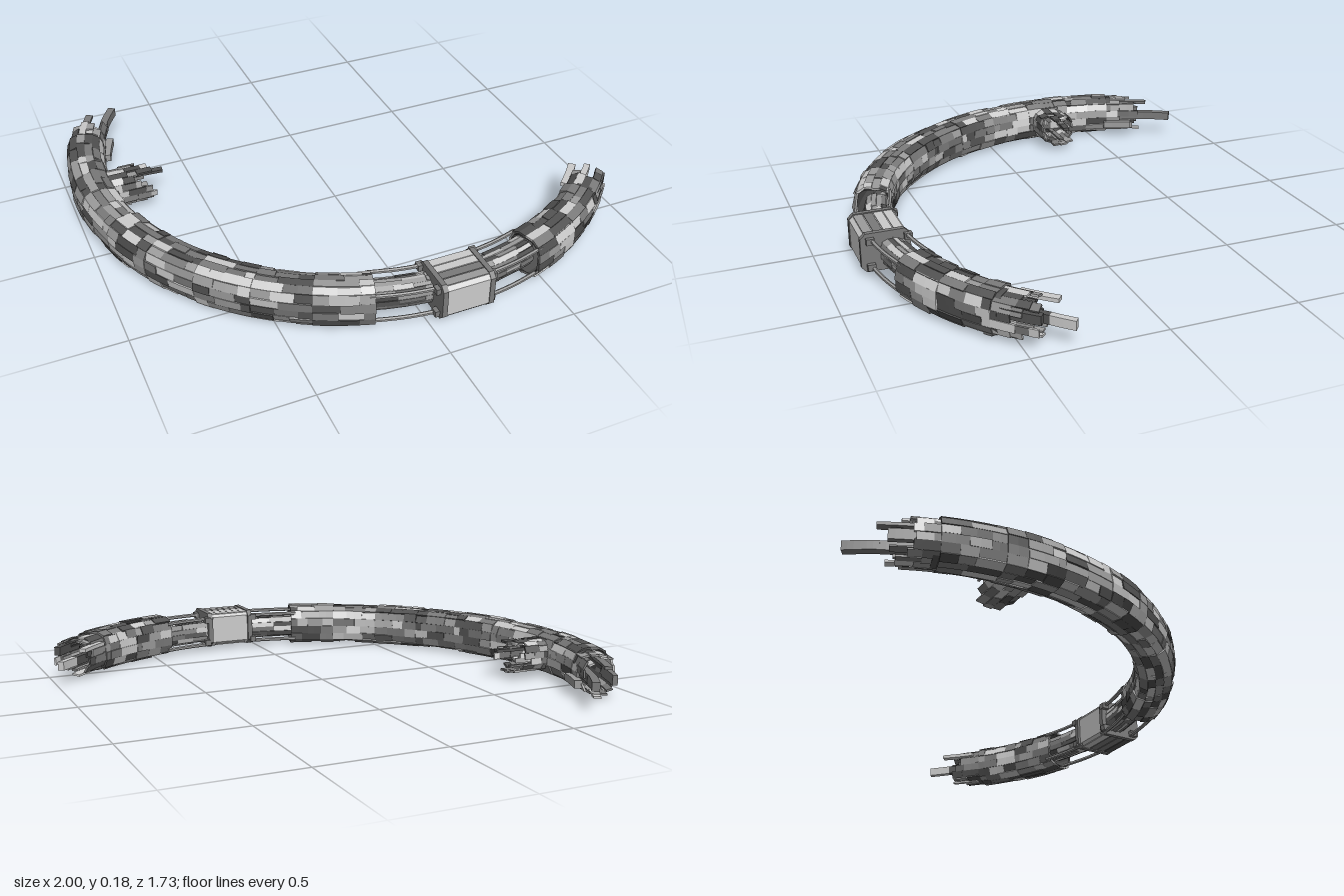
import * as THREE from 'three';
import { mergeGeometries } from 'three/addons/utils/BufferGeometryUtils.js';

const CX = 0.14, CZ = -0.29, R = 1.06, Y = 0.088; // ring centre, tube radius and height
const STEP = 11.25;                               // degrees per ring module
const ROWS = 16;                                  // plate rows around the tube
const TONES = [0xc4c4c4, 0x9c9c9c, 0x7a7a7a, 0x525252]; // patchwork greys

export function createModel() {
  const model = new THREE.Group();
  const mats = TONES.map(color => new THREE.MeshStandardMaterial({ color, flatShading: true, side: THREE.DoubleSide }));

  let seed = 7;
  const rnd = (a = 0, b = 1) => {
    seed = (seed * 16807) % 2147483647;
    return a + (b - a) * seed / 2147483647;
  };
  const add = (name, geo, tone, parent = model) => {
    const mesh = new THREE.Mesh(geo, mats[tone]);
    mesh.name = name;
    parent.add(mesh);
    return mesh;
  };
  // Deals plates out at random to the four greys, one mesh per grey
  const addPatchwork = (name, geos) => {
    const group = new THREE.Group(), bins = TONES.map(() => []);
    group.name = name;
    geos.forEach(g => bins[Math.floor(rnd(0, 3.999))].push(g));
    bins.forEach((bin, tone) => bin.length && add(name + 'Plates', mergeGeometries(bin), tone, group));
    model.add(group);
  };

  // Places (angle in degrees, radius, height) on the ring; angle 0 is the front
  const onRing = (deg, r, y) => {
    const a = THREE.MathUtils.degToRad(deg);
    return [CX + r * Math.sin(a), y, CZ + r * Math.cos(a)];
  };
  // Places (distance, across, height) along the broken spoke, which points to the hub
  const onSpoke = (d, across, y) => [-0.86 + d, y, CZ - across];

  // Rounded-square profile point
  const profile = (i, hw, hh) => {
    const t = (i / ROWS) * Math.PI * 2, c = Math.cos(t), s = Math.sin(t);
    const k = Math.pow(Math.abs(c) ** 3.2 + Math.abs(s) ** 3.2, -1 / 3.2);
    return [hw * c * k, hh * s * k];
  };

  // Thin plate between two profile points, swept from a0 to a1
  const plate = (place, base, p0, p1, lift0, lift1, a0, a1, seg, thick = 0.008) => {
    const g = new THREE.BoxGeometry(1, 1, 1, seg, 1, 1), pos = g.attributes.position;
    const dx = p1[0] - p0[0], dy = p1[1] - p0[1], len = Math.hypot(dx, dy);
    const nx = dy / len, ny = -dx / len;
    for (let i = 0; i < pos.count; i++) {
      const u = pos.getX(i) + 0.5, v = pos.getY(i) + 0.5;
      const out = lift0 + (lift1 - lift0) * v + (pos.getZ(i) - 0.5) * thick;
      pos.setXYZ(i, ...place(a0 + (a1 - a0) * u,
        base + p0[0] + dx * v + nx * out, Y + p0[1] + dy * v + ny * out));
    }
    g.computeVertexNormals();
    return g;
  };

  // One row of plates of uneven length between two stations
  const plateRow = (geos, place, base, i, hw, hh, a0, a1, size, seg) => {
    const p0 = profile(i, hw, hh), p1 = profile(i + 1, hw, hh), dir = Math.sign(a1 - a0);
    let a = a0;
    while ((a1 - a) * dir > 1e-6) {
      let b = a + dir * size * rnd(0.6, 1.3);
      if ((a1 - b) * dir < size * 0.3) b = a1;
      geos.push(plate(place, base, p0, p1, rnd(-0.006, 0.002), rnd(-0.006, 0.002),
        Math.min(a, b), Math.max(a, b), seg));
      a = b;
    }
  };

  // Curved block with a rectangular section, drifting outward by the given amount
  const arcBlock = (r0, r1, y0, y1, a0, a1, drift = 0) => {
    const g = new THREE.BoxGeometry(1, 1, 1, 6, 1, 1), pos = g.attributes.position;
    for (let i = 0; i < pos.count; i++) {
      const u = pos.getX(i) + 0.5;
      pos.setXYZ(i, ...onRing(a0 + (a1 - a0) * u,
        r0 + (r1 - r0) * (pos.getZ(i) + 0.5) + drift * u, y0 + (y1 - y0) * (pos.getY(i) + 0.5)));
    }
    g.computeVertexNormals();
    return g;
  };

  // Plated hull modules either side of the front joint
  const buildModule = (k) => {
    const geos = [], s = k % 2 ? 0.97 : 1;
    for (let i = 0; i < ROWS; i++) {
      plateRow(geos, onRing, R, i, 0.08 * s, 0.0865 * s, (k - 0.5) * STEP, (k + 0.5) * STEP, 4.5, 2);
    }
    addPatchwork('hullModule', geos);
  };
  for (let k = 2; k <= 3; k++) buildModule(k);
  for (let k = -2; k >= -9; k--) buildModule(k);

  // Inner lining that closes the seams between plates
  const lining = (a0, a1) => {
    const geos = [];
    for (let i = 0; i < ROWS; i++) {
      geos.push(plate(onRing, R, profile(i, 0.07, 0.076), profile(i + 1, 0.07, 0.076),
        0, 0, a0, a1, Math.ceil(Math.abs(a1 - a0) / 3), 0.003));
    }
    add('hullLining', mergeGeometries(geos), 3);
  };
  lining(1.5 * STEP, 3.6 * STEP);
  lining(-9.6 * STEP, -1.5 * STEP);

  // Torn ends: every row breaks off at its own length
  const tornEnd = (name, start, dir) => {
    const geos = [];
    for (let i = 0; i < ROWS; i++) {
      plateRow(geos, onRing, R, i, 0.074, 0.076, start, start + dir * rnd(3.5, 9.5), 4, 2);
      if (i % 2) plateRow(geos, onRing, R, i, 0.055, 0.055, start, start + dir * rnd(3, 8.5), 5, 2);
    }
    addPatchwork(name, geos);
  };
  tornEnd('tornEndLeft', 3.5 * STEP, 1);
  tornEnd('tornEndRight', -9.5 * STEP, -1);

  // Long loose strips hanging out of the torn ends
  addPatchwork('looseStrips', [
    arcBlock(1.02, 1.045, 0.065, 0.1, 43, 48.5, 0.005),
    arcBlock(1.025, 1.05, 0.065, 0.1, 48.5, 53.7, 0.012),
    arcBlock(0.975, 1.005, 0.125, 0.14, 41, 49.5),
    arcBlock(1.1, 1.125, 0.1, 0.135, 41, 48.5),
    arcBlock(1.0, 1.03, 0.075, 0.11, -124, -117),
    arcBlock(0.998, 1.028, 0.075, 0.11, -117, -110),
    arcBlock(1.06, 1.09, 0.13, 0.142, -117.5, -108),
    arcBlock(1.1, 1.12, 0.06, 0.1, -115.5, -108),
    arcBlock(0.965, 0.995, 0.04, 0.07, -113.5, -106),
  ]);

  // Exposed plated core and rails in the front gap
  const core = [];
  for (let i = 0; i < ROWS; i++) plateRow(core, onRing, 1.042, i, 0.05, 0.052, -18, 18, 6, 2);
  addPatchwork('exposedCore', core);
  const rails = [];
  for (const [r, y] of [[0.99, 0.03], [0.99, 0.147], [1.12, 0.035], [1.12, 0.143]]) {
    for (const side of [-1, 1]) {
      const pts = [4, 8, 12, 18].map(d => new THREE.Vector3(...onRing(side * d, r, y)));
      rails.push(new THREE.TubeGeometry(new THREE.CatmullRomCurve3(pts), 8, 0.008, 6));
    }
  }
  add('rails', mergeGeometries(rails), 1);

  // Eight-sided slab across the ring: half depth, half height, front and back chamfers, width
  const slab = (w, h, front, back, width, x, z) => {
    const shape = new THREE.Shape([[-w, -h + front], [-w + front, -h], [w - back, -h], [w, -h + back],
      [w, h - back], [w - back, h], [-w + front, h], [-w, h - front]].map(p => new THREE.Vector2(...p)));
    const g = new THREE.ExtrudeGeometry(shape, { depth: width, bevelEnabled: false });
    return g.rotateY(Math.PI / 2).translate(x - width / 2, 0.094, z);
  };

  // Front junction box with end frames, roof and floor panels
  add('junctionBox', slab(0.087, 0.069, 0.014, 0.012, 0.18, CX, 0.777), 0);
  const panels = [];
  for (const y of [0.026, 0.162]) {
    for (let n = 0; n < 4; n++) {
      panels.push(new THREE.BoxGeometry(0.17, 0.008, 0.034).translate(CX, y, 0.718 + n * 0.038));
    }
  }
  addPatchwork('junctionPanels', panels);
  for (const side of [-1, 1]) {
    add('junctionFrame', slab(0.094, 0.076, 0.02, 0.022, 0.02, CX + side * 0.094, 0.773), 2);
    // Clamps holding the rails
    for (const y of [0.04, 0.142]) {
      for (const z of [0.69, 0.832]) {
        add('railClamp', new THREE.BoxGeometry(0.026, 0.024, 0.03).translate(CX + side * 0.108, y, z), 2);
      }
    }
  }

  // Broken spoke stub, plated like the ring and torn off short
  const spoke = [];
  for (let i = 0; i < ROWS; i++) {
    plateRow(spoke, onSpoke, 0, i, 0.08, 0.064, 0, rnd(0.09, 0.18), 0.06, 1);
    if (i % 3 === 0) plateRow(spoke, onSpoke, 0, i, 0.05, 0.045, 0, rnd(0.1, 0.18), 0.07, 1);
  }
  spoke.push(new THREE.BoxGeometry(0.2, 0.012, 0.025).rotateY(-0.08).translate(-0.735, 0.12, -0.305));
  addPatchwork('spokeStub', spoke);

  return model;
}
